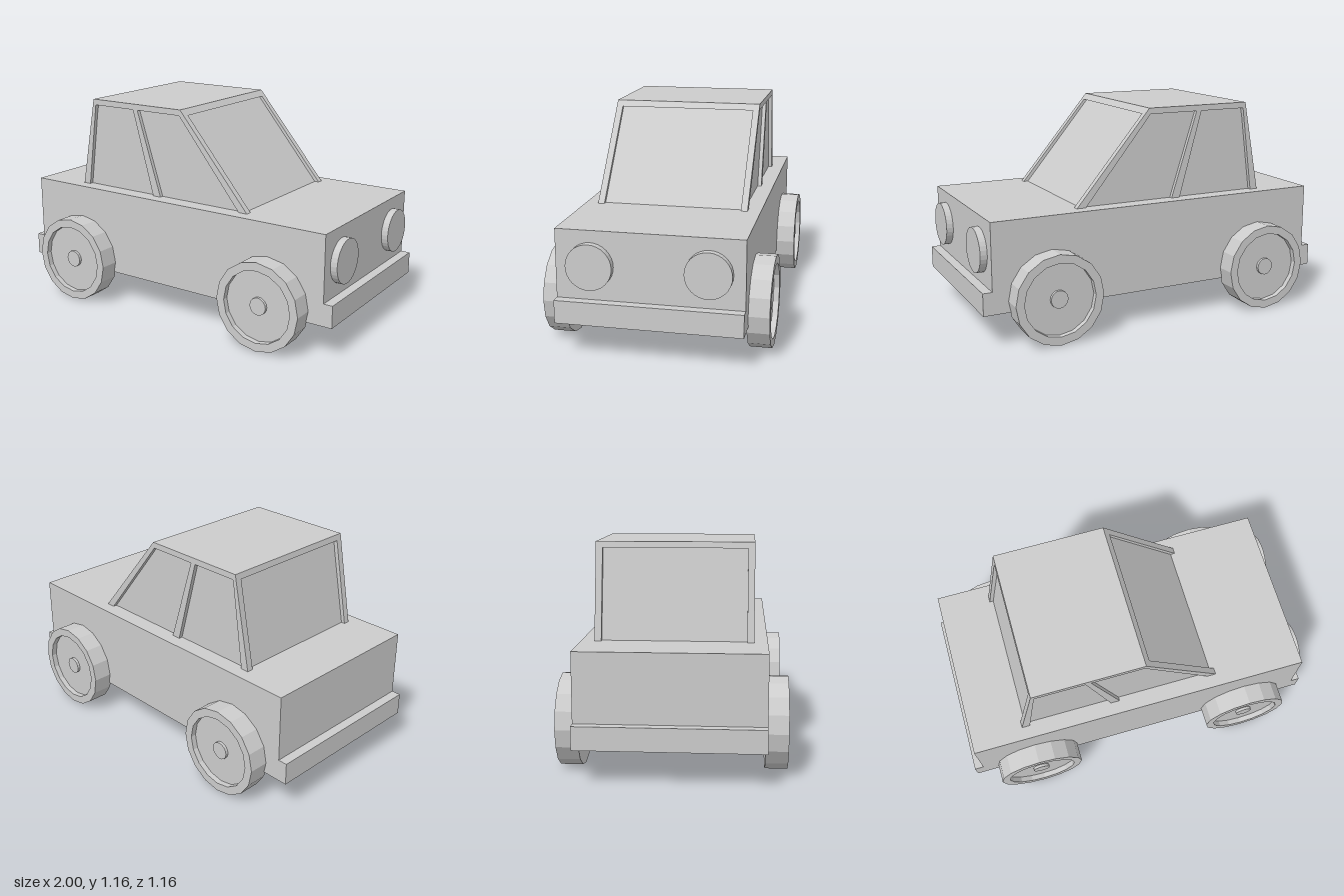
import * as THREE from 'three';

const grey = new THREE.MeshStandardMaterial({ color: 0xcccccc });
grey.name = 'light grey';

// Gives every facet its own normal
function faceted(geometry) {
  const flat = geometry.index ? geometry.toNonIndexed() : geometry;
  flat.computeVertexNormals();
  return flat;
}

// Side profile (x, y) extruded from z0 to z1
function prism(name, points, z0, z1) {
  const shape = new THREE.Shape(points.map(([x, y]) => new THREE.Vector2(x, y)));
  const geometry = new THREE.ExtrudeGeometry(shape, { depth: z1 - z0, bevelEnabled: false });
  geometry.translate(0, 0, z0);
  const mesh = new THREE.Mesh(faceted(geometry), grey);
  mesh.name = name;
  return mesh;
}

// Sixteen-sided wheel with a sunken disc and a raised hub cap
function wheel(name, x, side) {
  const profile = [
    [0, 0], [0.24, 0], [0.24, 0.115], [0.195, 0.115],
    [0.195, 0.085], [0.047, 0.085], [0.047, 0.1], [0, 0.1],
  ].map(([r, h]) => new THREE.Vector2(r, h));
  const mesh = new THREE.Mesh(faceted(new THREE.LatheGeometry(profile, 16)), grey);
  mesh.name = name;
  mesh.rotation.x = side * Math.PI / 2;
  mesh.position.set(x, 0.24, side * 0.466);
  return mesh;
}

function headlight(name, z) {
  const geometry = new THREE.CylinderGeometry(0.118, 0.118, 0.045, 32);
  const mesh = new THREE.Mesh(faceted(geometry), grey);
  mesh.name = name;
  mesh.rotation.z = -Math.PI / 2;
  mesh.position.set(0.9645, 0.477, z);
  return mesh;
}

export function createModel() {
  const car = new THREE.Group();
  car.name = 'car';

  // Lower body with a bumper step at both ends
  car.add(prism('body', [
    [-1, 0.18], [1, 0.18], [1, 0.3], [0.95, 0.3],
    [0.95, 0.657], [-0.95, 0.657], [-0.95, 0.3], [-1, 0.3],
  ], -0.475, 0.475));

  // Cabin: recessed window block, roof slab and pillar frames
  const cabin = new THREE.Group();
  cabin.name = 'cabin';
  cabin.add(prism('windows', [
    [-0.645, 0.65], [0.438, 0.65], [0.036, 1.13], [-0.551, 1.13],
  ], -0.385, 0.385));
  cabin.add(prism('roof', [
    [-0.576, 1.124], [0.062, 1.124], [0.035, 1.156], [-0.57, 1.156],
  ], -0.406, 0.406));

  const pillars = {
    rearPillar: [[-0.665, 0.655], [-0.62, 0.655], [-0.555, 1.124], [-0.576, 1.124]],
    middlePillar: [[-0.155, 0.655], [-0.105, 0.655], [-0.255, 1.124], [-0.285, 1.124]],
    frontPillar: [[0.408, 0.655], [0.459, 0.655], [0.062, 1.124], [0.028, 1.124]],
  };
  for (const [name, points] of Object.entries(pillars)) {
    cabin.add(prism(name + 'Left', points, 0.371, 0.406));
    cabin.add(prism(name + 'Right', points, -0.406, -0.371));
  }
  car.add(cabin);

  // Wheels and headlights on both sides
  for (const side of [1, -1]) {
    const label = side > 0 ? 'Left' : 'Right';
    car.add(wheel('frontWheel' + label, 0.627, side));
    car.add(wheel('rearWheel' + label, -0.627, side));
    car.add(headlight('headlight' + label, side * 0.297));
  }
  return car;
}
